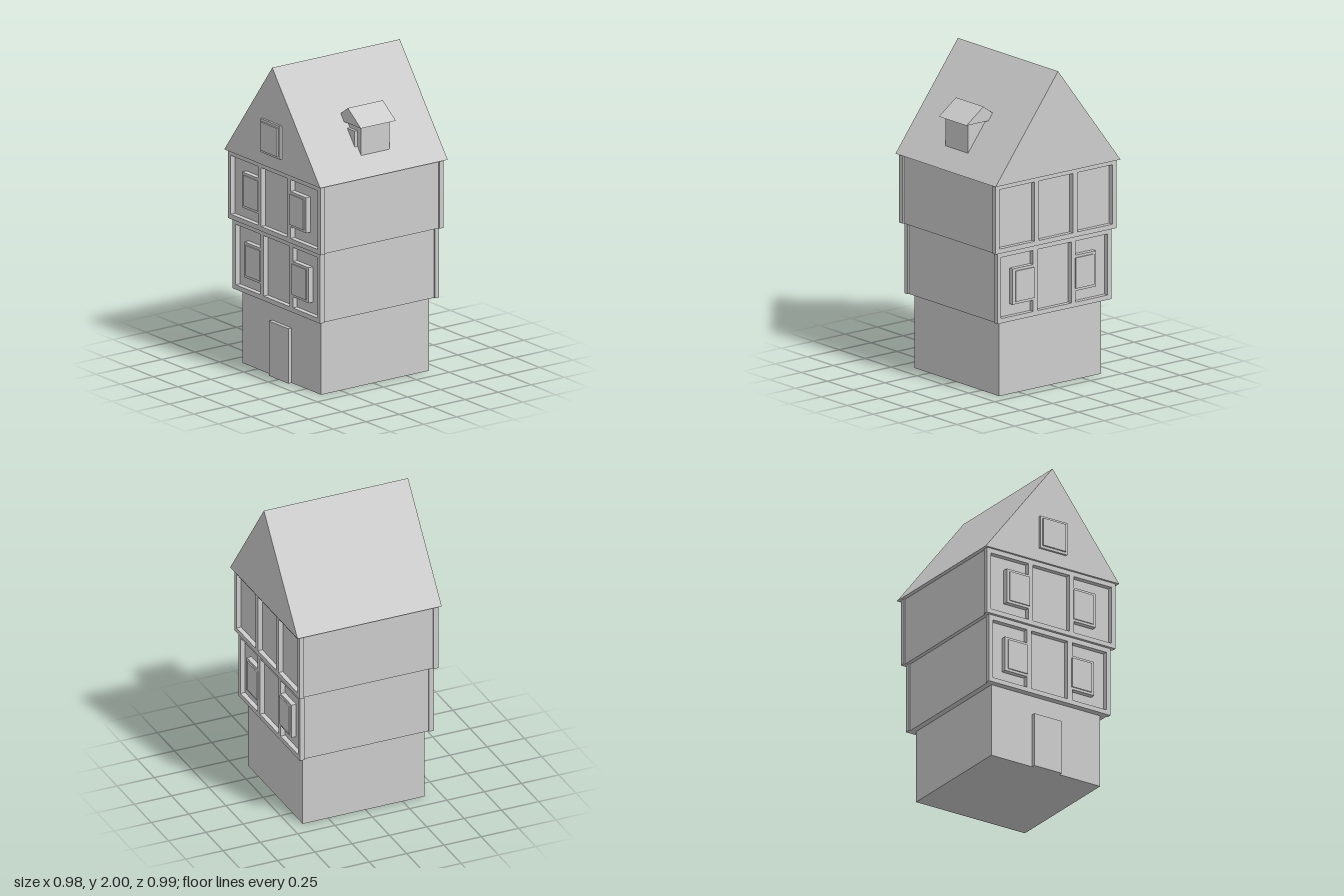
import * as THREE from 'three';

const plaster = new THREE.MeshStandardMaterial({ color: 0xcccccc });
plaster.name = 'plain grey';

function add(parent, name, geometry) {
  const mesh = new THREE.Mesh(geometry, plaster);
  mesh.name = name;
  parent.add(mesh);
  return mesh;
}

// Box given by its limits on each axis
function box(parent, name, x0, x1, y0, y1, z0, z1) {
  const g = new THREE.BoxGeometry(x1 - x0, y1 - y0, z1 - z0);
  g.translate((x0 + x1) / 2, (y0 + y1) / 2, (z0 + z1) / 2);
  return add(parent, name, g);
}

// Triangular prism running along z
function gable(parent, name, cx, half, y0, y1, z0, z1) {
  const s = new THREE.Shape([
    new THREE.Vector2(cx - half, y0),
    new THREE.Vector2(cx + half, y0),
    new THREE.Vector2(cx, y1),
  ]);
  const g = new THREE.ExtrudeGeometry(s, { depth: z1 - z0, bevelEnabled: false });
  g.translate(0, 0, z0);
  return add(parent, name, g);
}

function rectPoints(x0, x1, y0, y1) {
  return [[x0, y0], [x1, y0], [x1, y1], [x0, y1]].map(([x, y]) => new THREE.Vector2(x, y));
}

// Timber facade: a board with three openings and, optionally, two windows
function facade(f, depth, windows) {
  const group = new THREE.Group();
  const shape = new THREE.Shape(rectPoints(-f.half, f.half, f.y0, f.y1));
  const out = f.half - 0.03;
  for (const [a, b] of [[-out, -0.167], [-0.133, 0.133], [0.167, out]]) {
    shape.holes.push(new THREE.Path(rectPoints(a, b, f.y0 + 0.03, f.y1 - 0.031)));
  }
  add(group, 'timberFrame', new THREE.ExtrudeGeometry(shape, { depth, bevelEnabled: false }));
  if (windows) {
    for (const s of [-1, 1]) {
      const w = (name, a, b, y0, y1, z) =>
        box(group, name, Math.min(s * a, s * b), Math.max(s * a, s * b), y0, y1, 0, z);
      w('windowFrame', 0.167, 0.327, f.win, f.win + 0.226, depth);
      w('windowPane', 0.162, 0.307, f.win + 0.016, f.win + 0.21, depth + 0.007);
    }
  }
  return group;
}

export function createModel() {
  const house = new THREE.Group();
  house.name = 'house';

  // Ground floor and door
  box(house, 'groundFloor', -0.4, 0.4, 0, 0.475, -0.42, 0.397);
  box(house, 'door', -0.1, 0.1, 0, 0.35, 0.39, 0.422);

  // Two overhanging storeys with timber facades front and back
  const floors = [
    { name: 'firstFloor', half: 0.447, y0: 0.473, y1: 0.92, zb: -0.43, zf: 0.405, win: 0.574, back: true },
    { name: 'secondFloor', half: 0.473, y0: 0.92, y1: 1.356, zb: -0.445, zf: 0.423, win: 1.024, back: false },
  ];
  for (const f of floors) {
    const storey = new THREE.Group();
    storey.name = f.name;
    box(storey, 'walls', -f.half + 0.01, f.half - 0.01, f.y0, f.y1, f.zb, f.zf);
    const front = facade(f, 0.033, true);
    front.name = 'frontFacade';
    front.position.z = f.zf;
    const back = facade(f, 0.031, f.back);
    back.name = 'backFacade';
    back.rotation.y = Math.PI;
    back.position.z = f.zb;
    storey.add(front, back);
    house.add(storey);
  }

  // Main roof and attic window
  gable(house, 'roof', 0, 0.49, 1.355, 2, -0.496, 0.47);
  box(house, 'atticWindowFrame', -0.098, 0.098, 1.44, 1.654, 0.46, 0.485);
  box(house, 'atticWindowPane', -0.083, 0.083, 1.456, 1.638, 0.46, 0.496);

  // Dormer on the left roof slope
  const dormer = new THREE.Group();
  dormer.name = 'dormer';
  box(dormer, 'dormerWalls', 0.2, 0.402, 1.47, 1.657, -0.122, 0.095);
  box(dormer, 'dormerWindow', 0.235, 0.365, 1.49, 1.62, 0.09, 0.116);
  gable(dormer, 'dormerRoof', 0.3, 0.133, 1.656, 1.753, -0.145, 0.12);
  house.add(dormer);

  return house;
}
